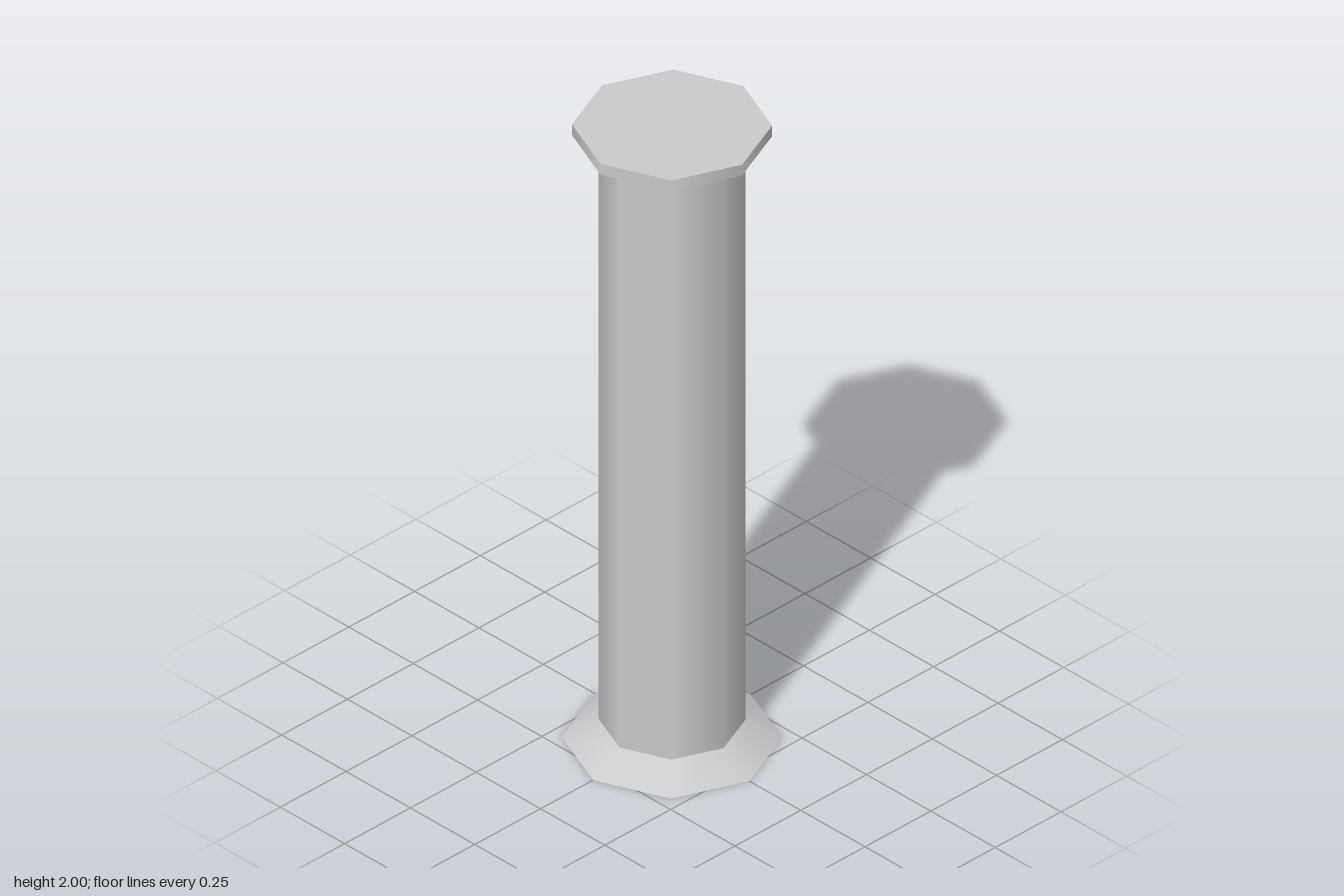
import * as THREE from 'three';

const SIDES = 8;

export function createModel() {
  const group = new THREE.Group();
  const material = new THREE.MeshStandardMaterial({ color: 0xcccccc });

  // Octagonal section standing between two heights, with corners on the x and z axes
  function addSection(name, bottomRadius, topRadius, bottom, top, open = false) {
    const geometry = new THREE.CylinderGeometry(topRadius, bottomRadius, top - bottom, SIDES, 1, open);
    const mesh = new THREE.Mesh(geometry, material);
    mesh.name = name;
    mesh.position.y = (bottom + top) / 2;
    group.add(mesh);
  }

  addSection('flaredBase', 0.3, 0.2, 0, 0.06);
  addSection('shaft', 0.2, 0.2, 0.06, 1.965, true);
  addSection('capPlate', 0.272, 0.272, 1.965, 2);

  return group;
}
